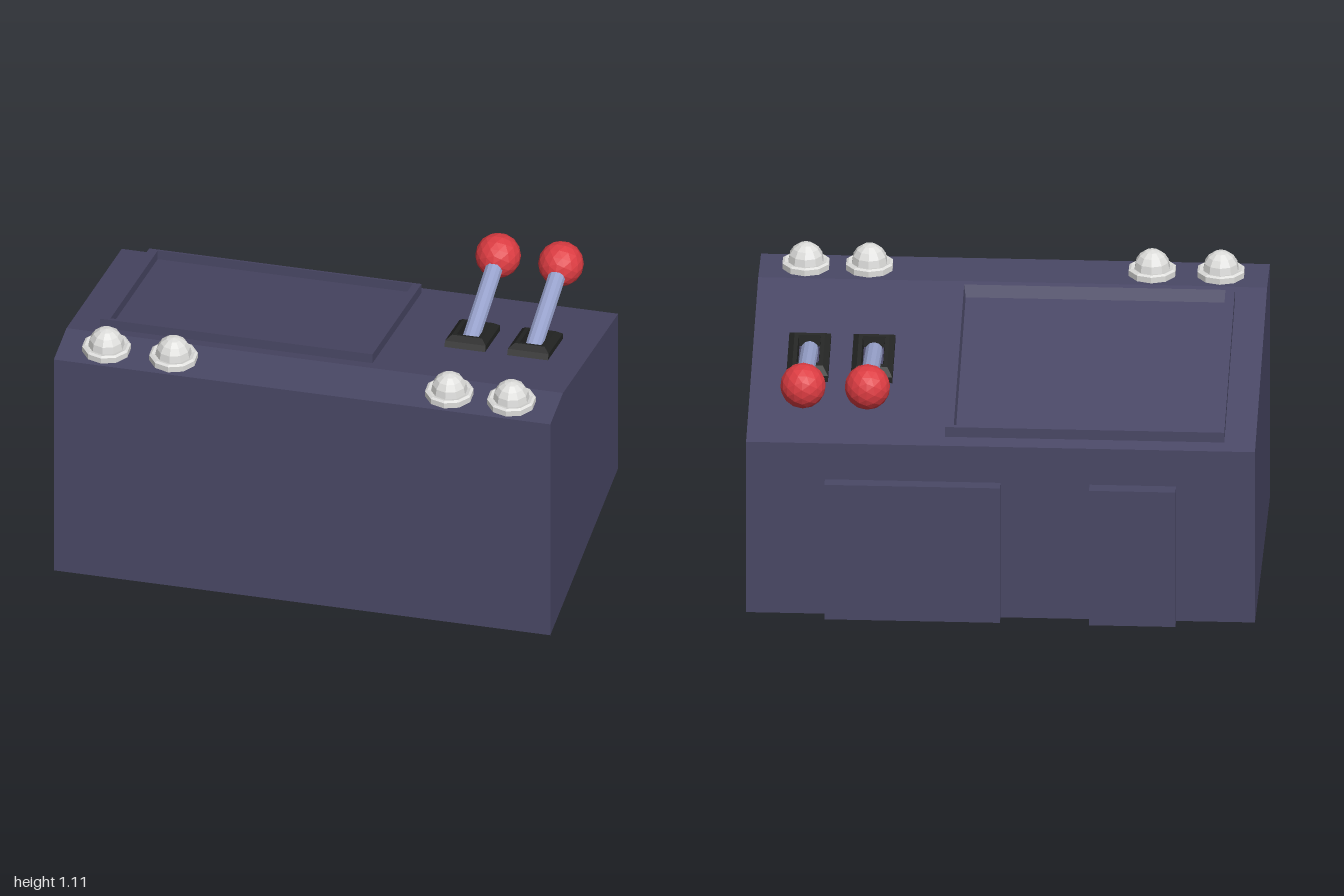
import * as THREE from 'three';

const mat = (name, color) => new THREE.MeshStandardMaterial({ name, color, flatShading: true });

// Height of the console's sloping top at depth z
const slopeY = (z) => 1.005 - (0.4 - z) * 0.28;

// Skin through rectangles [x0, x1, zFront, zBack, height above the slope]
function slopedRings(rings) {
  const corners = rings.map(([x0, x1, zf, zb, h]) =>
    [[x0, zf], [x1, zf], [x1, zb], [x0, zb]].map(([x, z]) => [x, slopeY(z) + h, z]));
  const pos = [];
  for (let r = 0; r < corners.length - 1; r++) {
    const a = corners[r], b = corners[r + 1];
    for (let i = 0; i < 4; i++) {
      const j = (i + 1) % 4;
      pos.push(...a[i], ...a[j], ...b[j], ...a[i], ...b[j], ...b[i]);
    }
  }
  const geo = new THREE.BufferGeometry();
  geo.setAttribute('position', new THREE.Float32BufferAttribute(pos, 3));
  geo.computeVertexNormals();
  return geo;
}

export function createModel() {
  const group = new THREE.Group();
  group.name = 'controlConsole';
  const casing = mat('casing slate', 0x4a4866);
  const rubber = mat('lever base black', 0x242524);
  const steel = mat('lever shaft blue', 0x9ba5d0);
  const red = mat('knob red', 0xdc3c42);
  const white = mat('button white', 0xdededc);

  const add = (name, geo, material, parent = group) => {
    const mesh = new THREE.Mesh(geo, material);
    mesh.name = name;
    parent.add(mesh);
    return mesh;
  };

  // Casing: side profile (z, y) extruded across the width
  const profile = new THREE.Shape([
    [-0.565, 0], [0.623, 0], [0.623, 1.005], [0.4, 1.005], [-0.565, slopeY(-0.565)],
  ].map(([z, y]) => new THREE.Vector2(z, y)));
  const body = new THREE.ExtrudeGeometry(profile, { depth: 2, bevelEnabled: false });
  body.rotateY(-Math.PI / 2).translate(1, 0, 0);
  add('casing', body, casing);

  // Back panels
  for (const [x0, x1, zBack] of [[-0.69, -0.35, -0.623], [0, 0.69, -0.618]]) {
    const depth = -0.565 - zBack;
    const panel = add('backPanel', new THREE.BoxGeometry(x1 - x0, 0.58, depth), casing);
    panel.position.set((x0 + x1) / 2, 0.29, zBack + depth / 2);
  }

  // Raised frame around the screen
  add('screenFrame', slopedRings([
    [-0.877, 0.22, 0.345, -0.512, 0],
    [-0.877, 0.22, 0.345, -0.512, 0.042],
    [-0.84, 0.187, 0.325, -0.5, 0.042],
    [-0.84, 0.18, 0.306, -0.5, 0.001],
  ]), casing);

  // Levers
  for (const x of [0.525, 0.778]) {
    const lever = new THREE.Group();
    lever.name = 'lever';
    lever.position.x = x;
    group.add(lever);
    add('leverBase', slopedRings([
      [-0.082, 0.082, 0.058, -0.205, 0],
      [-0.082, 0.082, 0.045, -0.205, 0.025],
      [-0.06, 0.06, 0.018, -0.172, 0.046],
      [-0.044, 0.044, 0.005, -0.155, 0.046],
      [-0.04, 0.04, 0, -0.15, 0.002],
    ]), rubber, lever);
    const from = new THREE.Vector3(0, 0.878, 0.02);
    const to = new THREE.Vector3(0, 0.962, -0.527);
    const dir = to.clone().sub(from);
    const shaft = add('leverShaft', new THREE.CylinderGeometry(0.035, 0.035, dir.length(), 12), steel, lever);
    shaft.position.copy(from).add(to).multiplyScalar(0.5);
    shaft.quaternion.setFromUnitVectors(new THREE.Vector3(0, 1, 0), dir.normalize());
    add('leverKnob', new THREE.IcosahedronGeometry(0.09, 2), red, lever).position.set(0, 0.965, -0.527);
  }

  // Domed buttons on a collar
  const dome = [0, 1, 2, 3, 4].map((i) => {
    const a = (i / 4) * Math.PI / 2;
    return new THREE.Vector2(i === 4 ? 0 : 0.072 * Math.cos(a), 0.026 + 0.076 * Math.sin(a));
  });
  const buttonGeo = new THREE.LatheGeometry([
    new THREE.Vector2(0.096, 0), new THREE.Vector2(0.096, 0.024), new THREE.Vector2(0.086, 0.03), ...dome,
  ], 10);
  for (const x of [-0.813, -0.543, 0.568, 0.818]) {
    add('button', buttonGeo, white).position.set(x, 1.005, 0.513);
  }

  return group;
}
